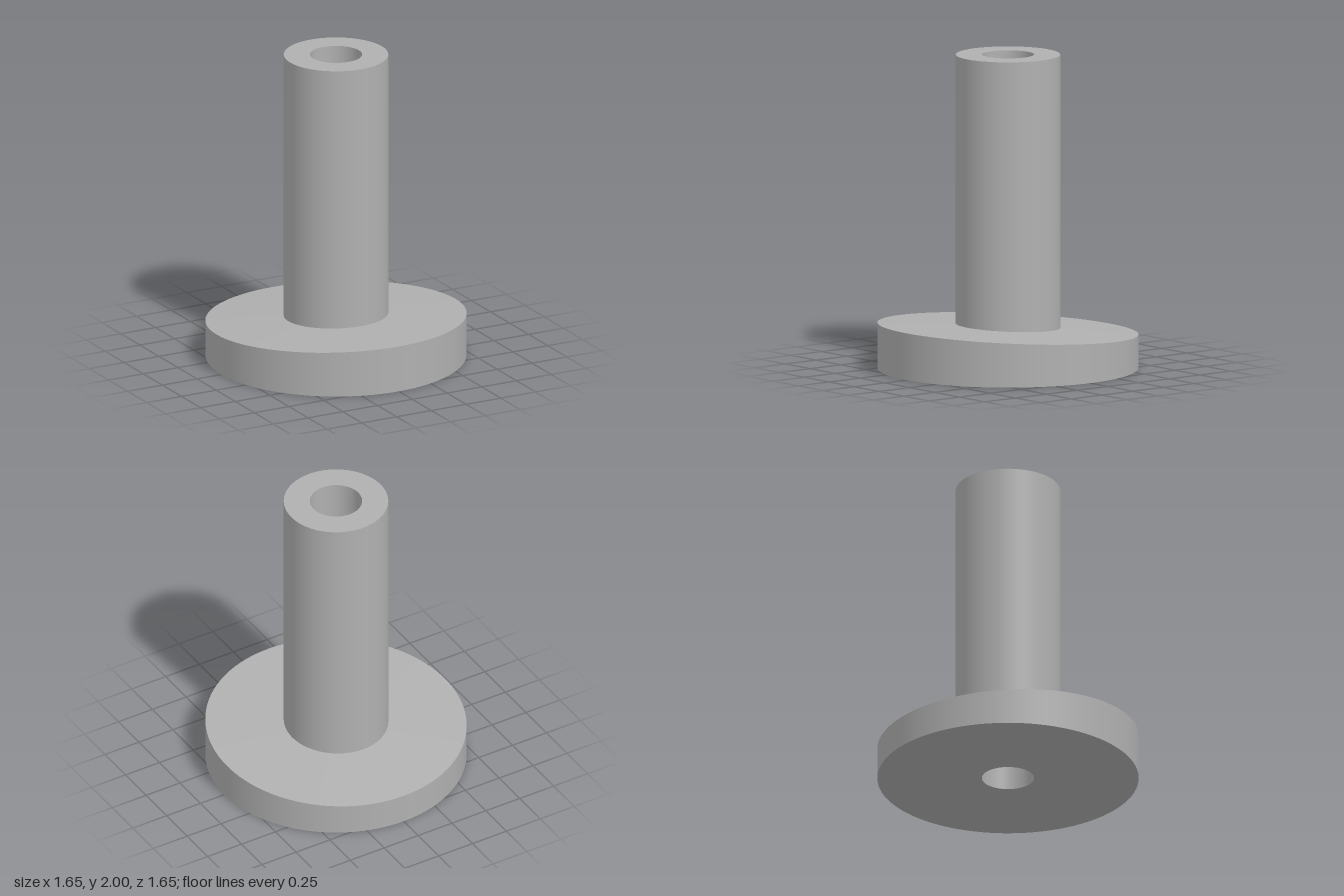
import * as THREE from 'three';

const SEGMENTS = 96;

// Revolves one straight profile edge; each end is [radius, height, tilt],
// where tilt is the rise in y per unit of z
function band(a, b) {
  const geometry = new THREE.LatheGeometry(
    [new THREE.Vector2(a[0], a[1]), new THREE.Vector2(b[0], b[1])], SEGMENTS);
  const p = geometry.attributes.position;
  for (let i = 0; i < p.count; i++) {
    const tilt = (i % 2 === 0 ? a : b)[2];
    p.setY(i, p.getY(i) + tilt * p.getZ(i));
  }
  return geometry;
}

export function createModel() {
  const model = new THREE.Group();
  model.name = 'flangedSleeve';
  const grey = new THREE.MeshStandardMaterial({ color: 0xb0b0b0 });
  grey.name = 'plainGrey';

  const R = 0.825, tube = 0.33, bore = 0.165;
  const rimTop = [R, 0.25, 0.06];
  const collar = [tube, 0.268, 0.056];

  // Profile edges run so that every face looks outward
  const parts = [
    ['flangeUnderside', [bore, 0, 0], [R, 0, 0]],
    ['flangeRim', [R, 0, 0], rimTop],
    ['flangeSlopedTop', rimTop, collar],
    ['tubeOuterWall', collar, [tube, 2, 0]],
    ['tubeTopRing', [tube, 2, 0], [bore, 2, 0]],
    ['boreWall', [bore, 2, 0], [bore, 0, 0]],
  ];
  for (const [name, from, to] of parts) {
    const geometry = band(from, to);
    if (name === 'flangeSlopedTop') geometry.computeVertexNormals();
    const mesh = new THREE.Mesh(geometry, grey);
    mesh.name = name;
    model.add(mesh);
  }
  return model;
}
